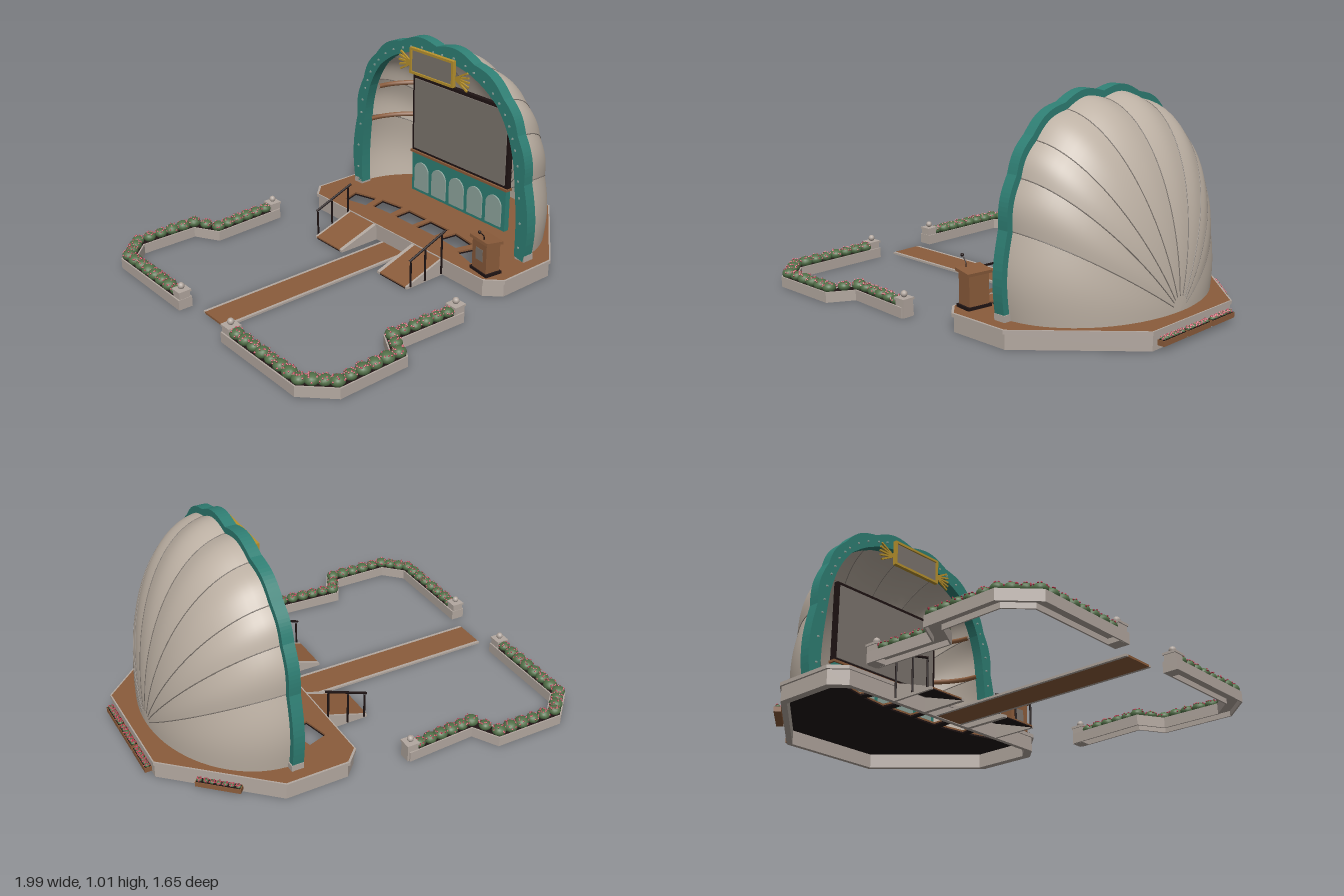
import * as THREE from 'three';
import { mergeGeometries } from 'three/addons/utils/BufferGeometryUtils.js';

const mat = (name, color, side = THREE.FrontSide) =>
  Object.assign(new THREE.MeshStandardMaterial({ color, side }), { name });
const V2 = (x, y) => new THREE.Vector2(x, y);
const V3 = (x, y, z) => new THREE.Vector3(x, y, z);
const DECK = 0.087;

export function createModel() {
  const M = {
    stone: mat('stone', 0xb3a8a0), shell: mat('shell plaster', 0xbdb1a4, THREE.DoubleSide),
    teal: mat('teal paint', 0x2f7f74), pale: mat('pale teal', 0x8fa69e), wood: mat('wood', 0x8b5c3b),
    dark: mat('dark', 0x1f1414), green: mat('leaf green', 0x527048), red: mat('flower red', 0xb8324a),
    gold: mat('gold', 0xb8922e), screen: mat('screen grey', 0x7d756e),
  };
  const root = new THREE.Group();
  root.name = 'bandshell';
  const add = (name, geo, m, parent = root) => {
    const mesh = new THREE.Mesh(geo, m);
    mesh.name = name;
    parent.add(mesh);
    return mesh;
  };
  const box = (name, w, h, d, x, y, z, m, parent = root) => {
    const b = add(name, new THREE.BoxGeometry(w, h, d), m, parent);
    b.position.set(x, y, z);
    return b;
  };
  const tube = (name, pts, r, m, parent = root) => add(name, new THREE.TubeGeometry(
    new THREE.CatmullRomCurve3(pts), Math.max(2, pts.length * 3), r, 6), m, parent);
  // Plan outline in [x, z], extruded upwards from y0 to y1
  const slab = (name, pts, holes, y0, y1, m) => {
    const s = new THREE.Shape(pts.map(([x, z]) => V2(x, -z)));
    s.holes = holes.map(h => new THREE.Path(h.map(([x, z]) => V2(x, -z))));
    const g = new THREE.ExtrudeGeometry(s, { depth: y1 - y0, bevelEnabled: false });
    return add(name, g.rotateX(-Math.PI / 2).translate(0, y0, 0), m);
  };
  // Elevation outline in [z, y] (symmetrical in z), extruded along x
  const upright = (name, shape, x0, depth, m) => add(name,
    new THREE.ExtrudeGeometry(shape, { depth, bevelEnabled: false }).rotateY(Math.PI / 2).translate(x0, 0, 0), m);
  let seed = 7;
  const rnd = () => (seed = (seed * 16807) % 2147483647) / 2147483647;

  // Stage: skirt, lip, deck with six floor openings
  const half = [[0.13, 0.62], [0.2, 0.69], [0.51, 0.69], [0.965, 0.28]];
  const mirrorZ = p => p.map(([x, z]) => [x, -z]);
  const outline = [...half, ...mirrorZ(half).reverse()];
  const scaled = k => outline.map(([x, z]) => [0.54 + (x - 0.54) * k, z * k]);
  const holes = [
    [[0.203, 0.468], [0.3, 0.5], [0.337, 0.37], [0.235, 0.34]],
    [[0.257, 0.31], [0.348, 0.334], [0.369, 0.195], [0.267, 0.18]],
    [[0.267, 0.147], [0.369, 0.15], [0.369, 0.013], [0.267, 0.013]],
  ].flatMap(h => [h, mirrorZ(h)]);
  slab('stageSkirt', scaled(0.985), [scaled(0.93)], 0, 0.07, M.stone);
  slab('stageLip', outline, [scaled(0.985)], 0.07, DECK, M.stone);
  slab('stageDeck', scaled(0.985), holes, 0.078, DECK, M.wood);
  slab('stageUnderside', scaled(0.985), holes, 0.07, 0.078, M.dark);

  // Scalloped rim, as [z, y] points per lobe
  const right = [[0.588, DECK], [0.57, 0.467], [0.52, 0.684], [0.428, 0.83], [0.24, 0.94]];
  const cusps = [...right, [0, 0.965], ...right.map(([z, y]) => [-z, y]).reverse()];
  const swell = [0.065, 0.09, 0.1, 0.12, 0.13];
  const N = 12;
  const lobe = (i, fullness) => {
    const [az, ay] = cusps[i], [bz, by] = cusps[i + 1];
    return Array.from({ length: N + 1 }, (_, j) => {
      const u = j / N, b = fullness * swell[Math.min(i, 9 - i)] * Math.sin(Math.PI * u);
      return V2(az + (bz - az) * u + (by - ay) * b, ay + (by - ay) * u - (bz - az) * b);
    });
  };
  const rim = (fullness, off) => cusps.slice(1).flatMap((_, i) => lobe(i, fullness)).map(p => {
    const d = V2(p.x, p.y - 0.35).normalize();
    return V2(p.x + d.x * off, Math.max(DECK, p.y + d.y * off));
  });

  // Shell: each lobe sweeps from the rim back to a point at the stage
  const K = 20;
  const sweep = (p, k) => {
    const a = (k / K) * Math.PI / 2, c = Math.max(0.002, Math.cos(a));
    return V3(0.425 + 0.465 * Math.sin(a), DECK + (p.y - DECK) * c, p.x * c);
  };
  const lobes = cusps.slice(1).map((_, i) => {
    const pos = [], idx = [];
    const edge = lobe(i, 1);
    for (let k = 0; k <= K; k++) for (const p of edge) pos.push(...sweep(p, k).toArray());
    for (let k = 0; k < K; k++) for (let j = 0; j < N; j++) {
      const a = k * (N + 1) + j, b = a + N + 1;
      idx.push(a, a + 1, b, a + 1, b + 1, b);
    }
    const g = new THREE.BufferGeometry();
    g.setAttribute('position', new THREE.Float32BufferAttribute(pos, 3));
    g.setIndex(idx);
    g.computeVertexNormals();
    return g;
  });
  add('shell', mergeGeometries(lobes), M.shell);
  // Fine seams in the valleys between lobes
  for (const [z, y] of cusps.slice(1, -1))
    tube('shellSeam', Array.from({ length: K }, (_, k) => sweep(V2(z, y), k)), 0.0025, M.screen);

  // Teal proscenium arch with small lamps and footings
  upright('arch', new THREE.Shape([...rim(1, 0.03), ...rim(0.4, -0.03).reverse()]), 0.395, 0.055, M.teal);
  rim(0.6, -0.005).forEach((p, i) => {
    if (i % 4 === 2) box('archLamp', 0.008, 0.008, 0.008, 0.393, p.y, p.x, M.pale);
  });
  for (const s of [-1, 1]) box('archFooting', 0.06, 0.03, 0.06, 0.425, DECK + 0.015, s * 0.595, M.stone);

  // Back wall: arcaded panels below, projection screen above
  box('backWall', 0.03, 0.22, 0.68, 0.575, DECK + 0.11, 0, M.teal);
  for (let i = -2; i <= 2; i++) {
    const a = new THREE.Shape();
    const c = i * 0.132;
    a.moveTo(c - 0.052, 0.105).lineTo(c + 0.052, 0.105).lineTo(c + 0.052, 0.21);
    a.absarc(c, 0.21, 0.052, 0, Math.PI, false);
    upright('archedPanel', a, 0.553, 0.008, M.pale);
  }
  box('wallCap', 0.04, 0.012, 0.7, 0.572, 0.312, 0, M.wood);
  box('screenFrame', 0.025, 0.42, 0.69, 0.575, 0.525, 0, M.dark);
  box('screen', 0.006, 0.385, 0.655, 0.56, 0.525, 0, M.screen);

  // Wooden ledges curving along the shell's inside
  for (const y of [0.46, 0.66]) for (const s of [-1, 1]) {
    const r = Math.sqrt(1 - ((y - DECK) / 0.97) ** 2);
    const pts = [0.04, 0.2, 0.4, 0.6, 0.75].map(a =>
      V3(0.425 + 0.46 * r * Math.sin(a), y, s * 0.59 * r * Math.cos(a)));
    tube('ledge', pts, 0.013, M.wood);
  }

  // Hanging sign board with gold frame and rays
  box('signBoard', 0.012, 0.11, 0.28, 0.372, 0.9, 0, M.screen);
  for (const s of [-1, 1]) {
    box('signFrameRail', 0.02, 0.012, 0.3, 0.368, 0.9 + s * 0.06, 0, M.gold);
    box('signFrameStile', 0.02, 0.13, 0.012, 0.368, 0.9, s * 0.146, M.gold);
    box('signHanger', 0.05, 0.012, 0.012, 0.395, 0.93, s * 0.1, M.dark);
    for (let i = 0; i < 5; i++) {
      const a = -0.5 + i * 0.25;
      const ray = box('signRay', 0.008, 0.009, 0.09, 0.375, 0.88 + 0.05 * Math.sin(a), s * (0.15 + 0.05 * Math.cos(a)), M.gold);
      ray.rotation.x = -s * a;
    }
  }

  // Ramps with kerbs and handrails
  const wedge = (name, pts, z, w, m) => add(name, new THREE.ExtrudeGeometry(
    new THREE.Shape(pts.map(p => V2(...p))), { depth: w, bevelEnabled: false }).translate(0, 0, z - w / 2), m);
  for (const s of [-1, 1]) {
    for (const [z, w] of [[0.145, 0.02], [0.34, 0.012]])
      wedge('rampSide', [[-0.09, 0], [0.14, 0], [0.14, DECK], [-0.09, 0.012]], s * z, w, M.stone);
    wedge('rampDeck', [[-0.09, 0.005], [0.14, 0.08], [0.14, DECK], [-0.09, 0.012]], s * 0.245, 0.18, M.wood);
    wedge('rampUnderside', [[-0.09, 0], [0.14, 0.073], [0.14, 0.08], [-0.09, 0.005]], s * 0.245, 0.18, M.dark);
    tube('handrail', [V3(-0.08, 0.144, s * 0.35), V3(0.145, 0.23, s * 0.35)], 0.006, M.dark);
    for (const x of [-0.07, 0.02, 0.125])
      tube('railPost', [V3(x, 0.01, s * 0.35), V3(x, 0.167 + x * 0.4, s * 0.35)], 0.005, M.dark);
  }

  // Central walk
  box('walk', 1.05, 0.01, 0.146, -0.395, 0.005, 0, M.wood);
  for (const s of [-1, 1]) box('walkEdge', 1.05, 0.01, 0.014, -0.395, 0.005, s * 0.08, M.stone);

  // Shrubs and flowers
  const leafGeos = [], flowerGeos = [];
  const shrub = (x, y, z, r, blooms) => {
    const g = new THREE.IcosahedronGeometry(r, 2);
    leafGeos.push(g.rotateY(rnd() * 6).scale(1, 0.75, 1).translate(x, y, z));
    for (let i = 0; i < blooms; i++) {
      const a = (i + rnd()) * Math.PI * 2 / blooms, e = 0.15 + rnd() * 1.1;
      flowerGeos.push(new THREE.OctahedronGeometry(0.0055).translate(
        x + r * Math.cos(e) * Math.cos(a), y + 0.78 * r * Math.sin(e), z + r * Math.cos(e) * Math.sin(a)));
    }
  };

  // Garden planters: mitred troughs along a bent path
  const path = [[-0.96, 0.17], [-0.96, 0.68], [-0.85, 0.79], [-0.53, 0.79], [-0.46, 0.67], [-0.09, 0.69]].map(p => V2(...p));
  const band = (pts, w) => {
    const side = k => pts.map((p, i) => {
      const a = pts[Math.max(0, i - 1)], b = pts[Math.min(pts.length - 1, i + 1)];
      const d1 = (i ? p.clone().sub(a) : b.clone().sub(p)).normalize();
      const d2 = (i < pts.length - 1 ? b.clone().sub(p) : p.clone().sub(a)).normalize();
      const n = V2(-d1.y - d2.y, d1.x + d2.x).normalize();
      const len = k / (n.x * -d1.y + n.y * d1.x);
      return [p.x + n.x * len, p.y + n.y * len];
    });
    return [...side(w), ...side(-w).reverse()];
  };
  for (const s of [-1, 1]) {
    const pts = path.map(p => V2(p.x, p.y * s));
    const inner = pts.map(p => p.clone());
    inner[0].y += 0.01 * s;
    inner[5].x -= 0.01;
    slab('planterWall', band(pts, 0.035), [band(inner, 0.028)], 0, 0.05, M.stone);
    slab('planterFloor', band(inner, 0.029), [], 0.024, 0.032, M.stone);
    slab('planterSoil', band(inner, 0.029), [], 0.032, 0.046, M.dark);
    for (const [x, z] of [[-0.96, 0.2], [-0.11, 0.69]]) {
      box('planterPost', 0.055, 0.08, 0.055, x, 0.04, z * s, M.stone);
      box('postCap', 0.064, 0.01, 0.064, x, 0.083, z * s, M.stone);
      add('postBall', new THREE.SphereGeometry(0.016, 12, 8), M.stone).position.set(x, 0.103, z * s);
    }
    for (let i = 0; i < 5; i++) {
      const a = pts[i].clone(), b = pts[i + 1].clone();
      if (i === 0) a.y += 0.075 * s;
      if (i === 4) b.x -= 0.07;
      const n = Math.max(2, Math.round(a.distanceTo(b) / 0.062));
      for (let j = i ? 1 : 0; j <= n; j++) {
        const p = a.clone().lerp(b, j / n);
        shrub(p.x, 0.064, p.y, 0.029 + rnd() * 0.006, 11);
      }
    }
  }

  // Small flower boxes fixed behind the stage
  const flowerBox = (x, z, len, turn) => {
    const g = new THREE.Group();
    g.name = 'flowerBox';
    g.position.set(x, 0, z);
    g.rotation.y = turn;
    root.add(g);
    box('flowerBoxBody', len, 0.024, 0.034, 0, 0.034, 0, M.wood, g);
    box('flowerBoxSoil', len - 0.008, 0.004, 0.028, 0, 0.046, 0, M.dark, g);
    for (let i = -3; i <= 3; i++) {
      const d = i * (len - 0.03) / 6;
      shrub(x + d * Math.cos(turn), 0.05, z - d * Math.sin(turn), 0.0125, 6);
    }
  };
  for (const z of [-0.175, 0, 0.17]) flowerBox(0.98, z, 0.16, Math.PI / 2);
  flowerBox(0.748, -0.5, 0.21, -0.74);
  add('shrubs', mergeGeometries(leafGeos), M.green);
  add('flowers', mergeGeometries(flowerGeos), M.red);

  // Lectern with microphone
  const lectern = new THREE.Group();
  lectern.name = 'lectern';
  lectern.position.set(0.205, DECK, 0.56);
  lectern.rotation.y = -0.14;
  root.add(lectern);
  box('lecternBase', 0.09, 0.014, 0.125, 0, 0.007, 0, M.dark, lectern);
  box('lecternBody', 0.078, 0.15, 0.105, 0, 0.085, 0, M.wood, lectern);
  box('lecternPanel', 0.006, 0.06, 0.05, -0.038, 0.095, 0, M.screen, lectern);
  box('lecternTop', 0.095, 0.014, 0.13, 0, 0.164, 0, M.wood, lectern).rotation.z = -0.12;
  tube('microphoneStem', [V3(-0.03, 0.165, 0.02), V3(-0.032, 0.195, 0.02), V3(-0.055, 0.218, 0.02)], 0.0025, M.dark, lectern);
  add('microphone', new THREE.SphereGeometry(0.008, 10, 8), M.dark, lectern).position.set(-0.058, 0.222, 0.02);
  return root;
}
